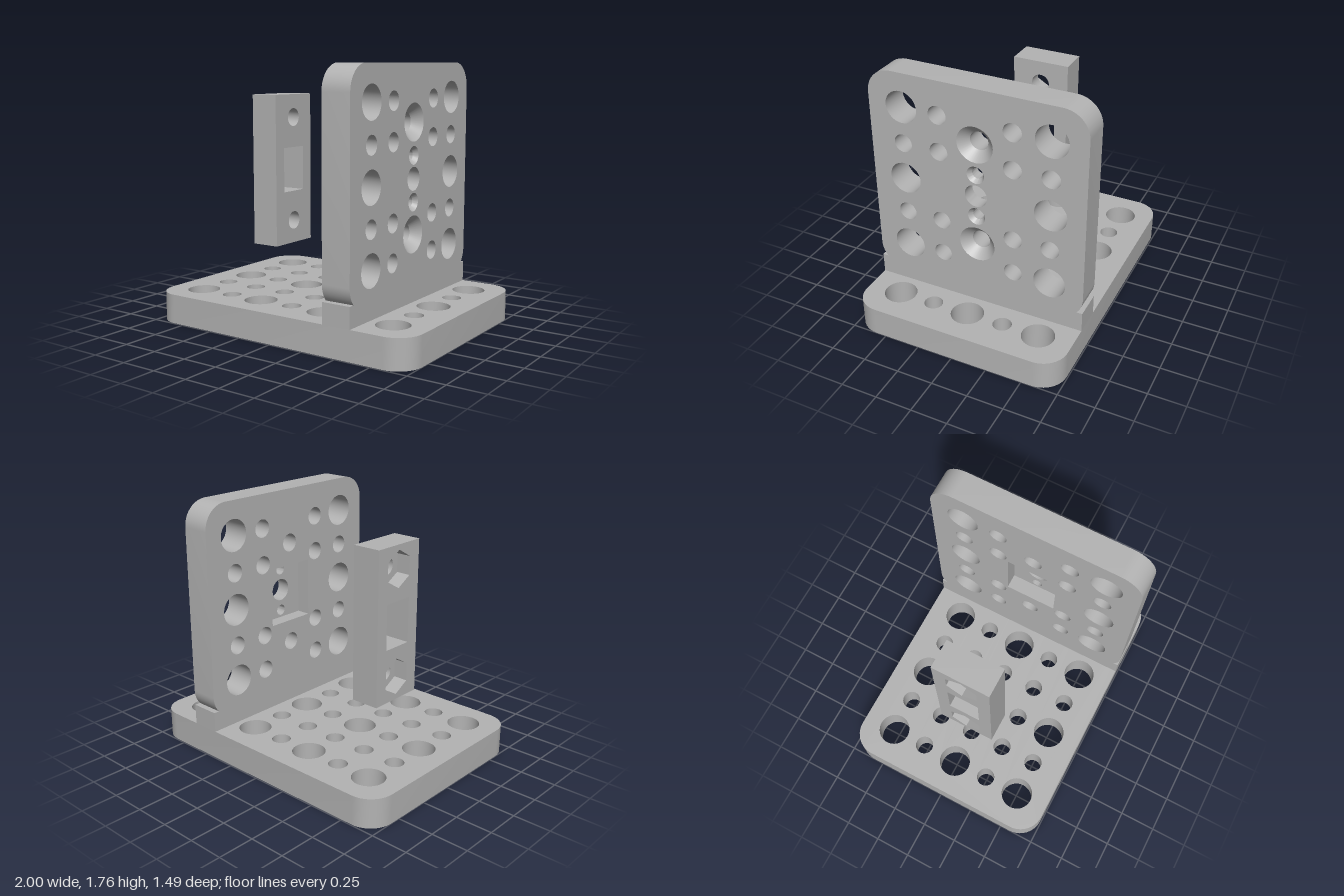
import * as THREE from 'three';
import { mergeGeometries, toCreasedNormals } from 'three/addons/utils/BufferGeometryUtils.js';

const V = (x, y) => new THREE.Vector2(x, y);
const PI = Math.PI;

// Counter-clockwise rings of points
function arc(cx, cy, r, a0, a1, n = 10) {
  return Array.from({ length: n + 1 }, (_, i) => {
    const a = a0 + (a1 - a0) * i / n;
    return V(cx + r * Math.cos(a), cy + r * Math.sin(a));
  });
}
const circle = (x, y, r, n = 36) => arc(x, y, r, 0, 2 * PI, n).slice(0, n);
const rect = (x, y, w, h) =>
  [V(x - w, y - h), V(x + w, y - h), V(x + w, y + h), V(x - w, y + h)];
// Hexagon with a corner up, sampled like a 36-point circle
function hexagon(x, y, r) {
  return Array.from({ length: 36 }, (_, i) => {
    const a = i * PI / 18, sector = ((a + PI / 6) % (PI / 3)) - PI / 6;
    const d = r * Math.cos(PI / 6) / Math.cos(sector);
    return V(x + d * Math.cos(a), y + d * Math.sin(a));
  });
}

// Joins successive rings [points, z] with bands of quads
function loft(rings) {
  const pos = [], index = [];
  const n = rings[0][0].length;
  for (const [pts, z] of rings) for (const p of pts) pos.push(p.x, p.y, z);
  for (let k = 0; k < rings.length - 1; k++) {
    for (let i = 0; i < n; i++) {
      const a = k * n + i, b = k * n + (i + 1) % n;
      index.push(a, b, b + n, a, b + n, a + n);
    }
  }
  const g = new THREE.BufferGeometry();
  g.setAttribute('position', new THREE.Float32BufferAttribute(pos, 3));
  g.setIndex(index);
  return g;
}

// Flat face with holes, facing +z or -z
function cap(outline, holes, z, up) {
  const shape = new THREE.Shape(outline);
  shape.holes = holes.map(h => new THREE.Path(h));
  const g = new THREE.ShapeGeometry(shape).translate(0, 0, z);
  g.deleteAttribute('normal');
  g.deleteAttribute('uv');
  if (!up) g.index.array.reverse();
  return g;
}

// Plate of thickness t; each bore is a list of rings from front (t) to back (0)
function plate(outline, t, bores, pocket) {
  const backHoles = bores.filter(b => b[b.length - 1][1] === 0).map(b => b[b.length - 1][0]);
  const parts = [loft([[outline, 0], [outline, t]]), ...bores.map(loft)];
  parts.push(cap(outline, bores.map(b => b[0][0]), t, true));
  if (pocket) {
    // Recess in the back face, with its own bored floor
    const floorHoles = bores.filter(b => b[b.length - 1][1] > 0).map(b => b[b.length - 1][0]);
    parts.push(loft([[pocket.ring, pocket.depth], [pocket.ring, 0]]));
    parts.push(cap(pocket.ring, floorHoles, pocket.depth, false));
    backHoles.push(pocket.ring);
  }
  parts.push(cap(outline, backHoles, 0, false));
  return toCreasedNormals(mergeGeometries(parts), 0.6);
}

const T = 0.2, P = 0.255, BIG = 0.11, SMALL = 0.063;
const straight = (ring, z0 = 0) => [[ring, T], [ring, z0]];

export function createModel() {
  const model = new THREE.Group();
  const grey = new THREE.MeshStandardMaterial({ color: 0xb3b3b3 });
  grey.name = 'plain grey';
  const add = (name, geometry) => {
    const mesh = new THREE.Mesh(geometry, grey);
    mesh.name = name;
    model.add(mesh);
    return mesh;
  };

  // Base plate with alternating large and small holes
  const R = 0.17, hx = 1 - R, hz = 0.743 - R;
  const baseOutline = [
    ...arc(hx, -hz, R, -PI / 2, 0), ...arc(hx, hz, R, 0, PI / 2),
    ...arc(-hx, hz, R, PI / 2, PI), ...arc(-hx, -hz, R, PI, 1.5 * PI),
  ];
  const baseBores = [];
  for (let i = -3; i <= 3; i++) {
    for (let j = -2; j <= 2; j++) {
      const big = i % 2 !== 0 && j % 2 === 0;
      baseBores.push(straight(circle(i * P, j * P, big ? BIG : SMALL)));
    }
  }
  add('basePlate', plate(baseOutline, T, baseBores)).rotation.x = -PI / 2;

  // Upright plate: rounded square standing on a full-width foot
  const C = 1.02, low = Math.asin(-0.11 / R);
  const wallOutline = [
    V(-0.743, 0.2), V(0.743, 0.2), V(0.743, 0.34),
    ...arc(hz, 0.45, R, low, 0), ...arc(hz, C + hz, R, 0, PI / 2),
    ...arc(-hz, C + hz, R, PI / 2, PI), ...arc(-hz, 0.45, R, PI, PI - low),
    V(-0.743, 0.34),
  ];
  const wallBores = [];
  for (const s of [-1, 1]) {
    for (let j = -2; j <= 2; j++) {
      wallBores.push(straight(circle(s * 2 * P, C + j * P, j % 2 ? SMALL : BIG)));
      if (j) wallBores.push(straight(circle(s * P, C + j * P, SMALL)));
    }
    // Countersunk screw holes
    const y = C + s * 0.365, inner = circle(0, y, SMALL);
    wallBores.push([[circle(0, y, 0.125), T], [inner, T - 0.062], [inner, 0]]);
    const y2 = C + s * 0.152, inner2 = circle(0, y2, 0.038);
    wallBores.push([[circle(0, y2, 0.061), T], [inner2, T - 0.03], [inner2, 0.1]]);
  }
  wallBores.push(straight(circle(0, C, 0.078), 0.1));
  const pocket = { ring: rect(0, C, 0.18, 0.205), depth: 0.1 };
  const wall = add('uprightPlate', plate(wallOutline, T, wallBores, pocket));
  wall.rotation.y = PI / 2;
  wall.position.x = 0.405;

  // Clamp block with a window and two hexagonal nut recesses
  const blockBores = [straight(rect(0, C, 0.11, 0.155))];
  for (const s of [-1, 1]) {
    const y = C + s * 0.365, hole = circle(0, y, SMALL), hex = hexagon(0, y, 0.125);
    blockBores.push([[hole, T], [hole, 0.1], [hex, 0.1], [hex, 0]]);
  }
  const block = add('clampBlock', plate(rect(0, C, 0.2, 0.525), T, blockBores));
  block.rotation.y = PI / 2;
  block.position.x = -0.562;

  return model;
}
